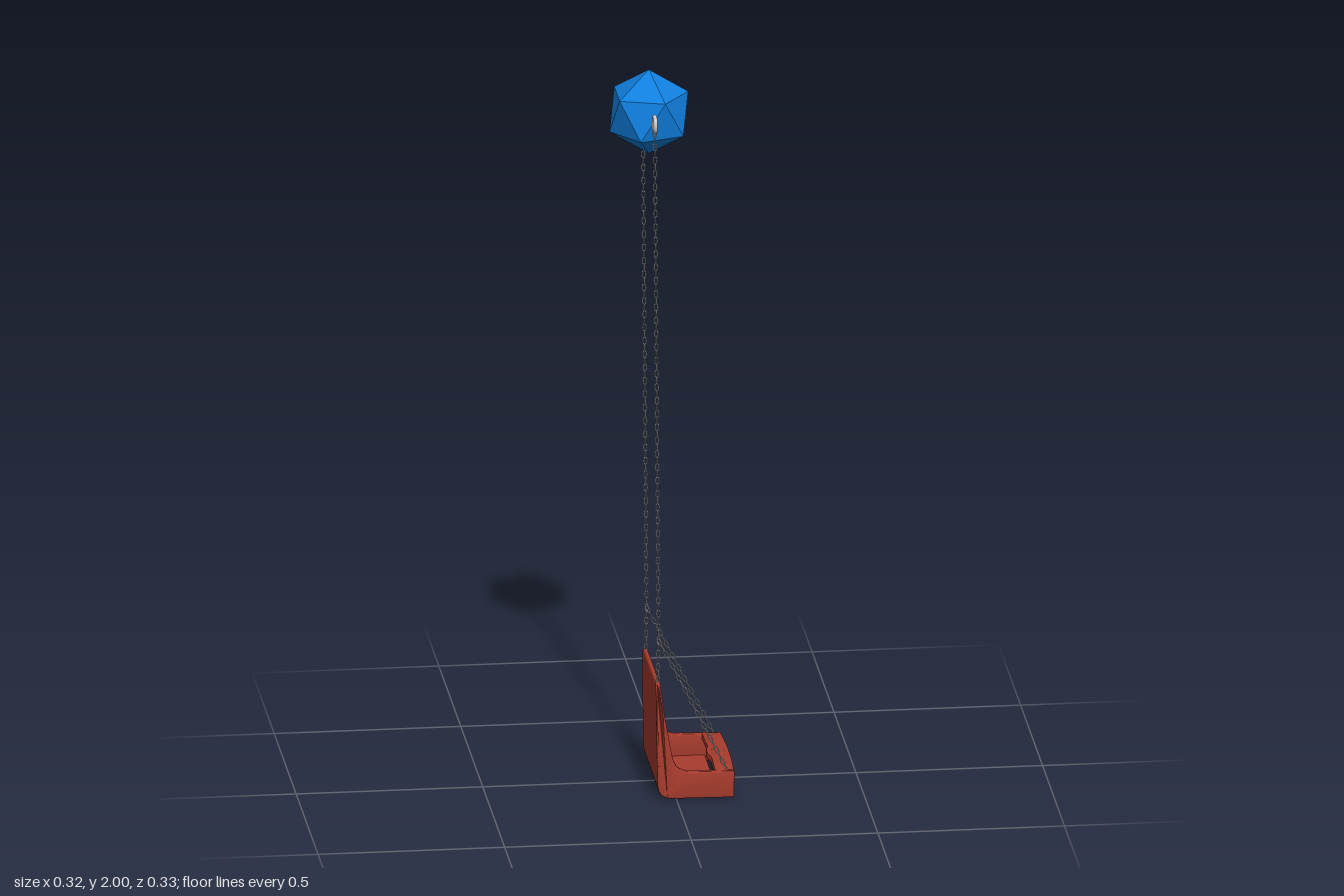
import * as THREE from 'three';
import { mergeGeometries, toCreasedNormals } from 'three/addons/utils/BufferGeometryUtils.js';
import { ConvexGeometry } from 'three/addons/geometries/ConvexGeometry.js';
import { RoundedBoxGeometry } from 'three/addons/geometries/RoundedBoxGeometry.js';

const red = new THREE.MeshStandardMaterial({ color: 0xa83c2e });
const blue = new THREE.MeshStandardMaterial({ color: 0x1080e0, flatShading: true });
const grey = new THREE.MeshStandardMaterial({ color: 0xcccccc });
const V = (x, y, z) => new THREE.Vector3(x, y, z);

function add(parent, name, geometry, material) {
  const mesh = new THREE.Mesh(geometry, material);
  mesh.name = name;
  parent.add(mesh);
  return mesh;
}

// Side-view profile (x, y) extruded in z, narrowed towards the rounded top of the backrest
function extrudeProfile(shape, z0, z1, bevel) {
  const geo = new THREE.ExtrudeGeometry(shape, {
    depth: z1 - z0 - 2 * bevel, curveSegments: 10, steps: 1,
    bevelEnabled: bevel > 0, bevelSize: bevel, bevelThickness: bevel, bevelOffset: -bevel, bevelSegments: 3,
  });
  geo.translate(0, 0, z0 + bevel);
  const p = geo.attributes.position;
  for (let i = 0; i < p.count; i++) {
    const t = THREE.MathUtils.clamp((p.getY(i) - 0.25) / 0.075, 0, 1);
    p.setZ(i, p.getZ(i) * (1 - 0.17 * (1 - Math.sqrt(1 - t * t))));
  }
  return toCreasedNormals(geo, 0.7);
}

// Rounded top end shared by the shell and the side walls
function topOfBack(shape) {
  for (const y of [0.27, 0.29, 0.305, 0.316]) shape.lineTo(-0.054, y);
  shape.quadraticCurveTo(-0.054, 0.325, -0.048, 0.325);
  shape.quadraticCurveTo(-0.041, 0.325, -0.041, 0.314);
  for (const y of [0.303, 0.288, 0.27]) shape.lineTo(-0.04 + (0.314 - y) * 0.08, y);
}

function outerBack(shape) {
  shape.lineTo(-0.01, 0.002);
  shape.bezierCurveTo(-0.04, 0.004, -0.05, 0.015, -0.051, 0.05);
  shape.lineTo(-0.054, 0.25);
  topOfBack(shape);
}

function createSeat() {
  const seat = new THREE.Group();
  seat.name = 'seat';

  // Backrest curving into the low floor
  const shell = new THREE.Shape();
  shell.moveTo(0.112, 0.002);
  outerBack(shell);
  shell.lineTo(-0.037, 0.06);
  shell.quadraticCurveTo(-0.036, 0.018, 0, 0.016);
  shell.lineTo(0.112, 0.016);
  add(seat, 'backAndFloor', extrudeProfile(shell, -0.155, 0.155, 0), red);

  // Side walls, swept down from the backrest to the armrest level
  const wall = new THREE.Shape();
  wall.moveTo(0.154, 0);
  outerBack(wall);
  wall.lineTo(-0.032, 0.24);
  wall.lineTo(-0.012, 0.125);
  wall.bezierCurveTo(-0.004, 0.085, 0.01, 0.078, 0.04, 0.076);
  wall.lineTo(0.156, 0.074);
  for (const side of [-1, 1]) {
    const z = side > 0 ? [0.147, 0.164] : [-0.164, -0.147];
    add(seat, 'sideWall', extrudeProfile(wall, ...z, 0.004), red);
    // Front corner post
    const post = add(seat, 'frontPost', new RoundedBoxGeometry(0.04, 0.073, 0.022, 3, 0.006), red);
    post.position.set(0.135, 0.0365, side * 0.152);
  }

  // Front bar above the open slot, bowed outwards in the middle
  const plan = new THREE.Shape();
  plan.moveTo(0.104, -0.155);
  plan.lineTo(0.155, -0.155);
  plan.quadraticCurveTo(0.166, 0, 0.155, 0.155);
  plan.lineTo(0.104, 0.155);
  plan.lineTo(0.107, 0.045);
  plan.quadraticCurveTo(0.092, 0, 0.107, -0.045);
  const bar = new THREE.ExtrudeGeometry(plan, {
    depth: 0.012, bevelSize: 0.003, bevelThickness: 0.003, bevelOffset: -0.003, bevelSegments: 2, curveSegments: 12,
  });
  bar.rotateX(Math.PI / 2).translate(0, 0.073, 0);
  add(seat, 'frontBar', toCreasedNormals(bar, 0.7), red);

  // Soft moulded swelling in the middle of the bar
  const swell = add(seat, 'barSwelling', new THREE.SphereGeometry(1, 24, 12), red);
  swell.scale.set(0.017, 0.0035, 0.043);
  swell.position.set(0.131, 0.0755, 0);
  return seat;
}

// Oval link: a small torus pulled apart along y
function linkGeometry() {
  const geo = new THREE.TorusGeometry(0.0044, 0.0017, 6, 12);
  const p = geo.attributes.position;
  for (let i = 0; i < p.count; i++) {
    const y = p.getY(i);
    if (Math.abs(y) > 1e-5) p.setY(i, y + Math.sign(y) * 0.005);
  }
  geo.computeVertexNormals();
  return geo;
}

// Links strung from a to b, each turned a quarter from the last
function chainGeometry(a, b) {
  const link = linkGeometry();
  const dir = b.clone().sub(a);
  const count = Math.round(dir.length() / 0.0188);
  const aim = new THREE.Quaternion().setFromUnitVectors(V(0, 1, 0), dir.clone().normalize());
  const links = [];
  for (let i = 0; i <= count; i++) {
    const twist = new THREE.Quaternion().setFromAxisAngle(V(0, 1, 0), (i % 2) * Math.PI / 2);
    const matrix = new THREE.Matrix4().compose(
      a.clone().lerp(b, i / count), aim.clone().multiply(twist), V(1, 1, 1));
    links.push(link.clone().applyMatrix4(matrix));
  }
  return mergeGeometries(links);
}

// Icosahedron standing on a vertex
function icosahedron(radius) {
  const points = [V(0, radius, 0), V(0, -radius, 0)];
  for (let i = 0; i < 10; i++) {
    const a = i * Math.PI / 5;
    const r = radius * 2 / Math.sqrt(5);
    points.push(V(r * Math.cos(a), (i % 2 ? -0.5 : 0.5) * r, r * Math.sin(a)));
  }
  return new ConvexGeometry(points);
}

export function createModel() {
  const model = new THREE.Group();
  model.name = 'swing';

  const anchor = add(model, 'anchorBlock', icosahedron(0.118), blue);
  anchor.position.set(-0.055, 1.882, 0);

  model.add(createSeat());

  for (const side of [-1, 1]) {
    const z = side * 0.137;
    const ring = add(model, 'hangingRing', new THREE.TorusGeometry(0.0205, 0.0055, 12, 32), grey);
    ring.rotation.y = Math.PI / 2;
    ring.position.set(-0.055, 1.892, z);
    add(model, 'mainChain', chainGeometry(V(-0.055, 1.865, z), V(-0.045, 0.44, z)), grey);
    add(model, 'backChain', chainGeometry(V(-0.045, 0.44, z), V(-0.047, 0.31, z)), grey);
    add(model, 'frontChain', chainGeometry(V(-0.042, 0.435, z), V(0.134, 0.08, side * 0.15)), grey);
  }
  return model;
}
